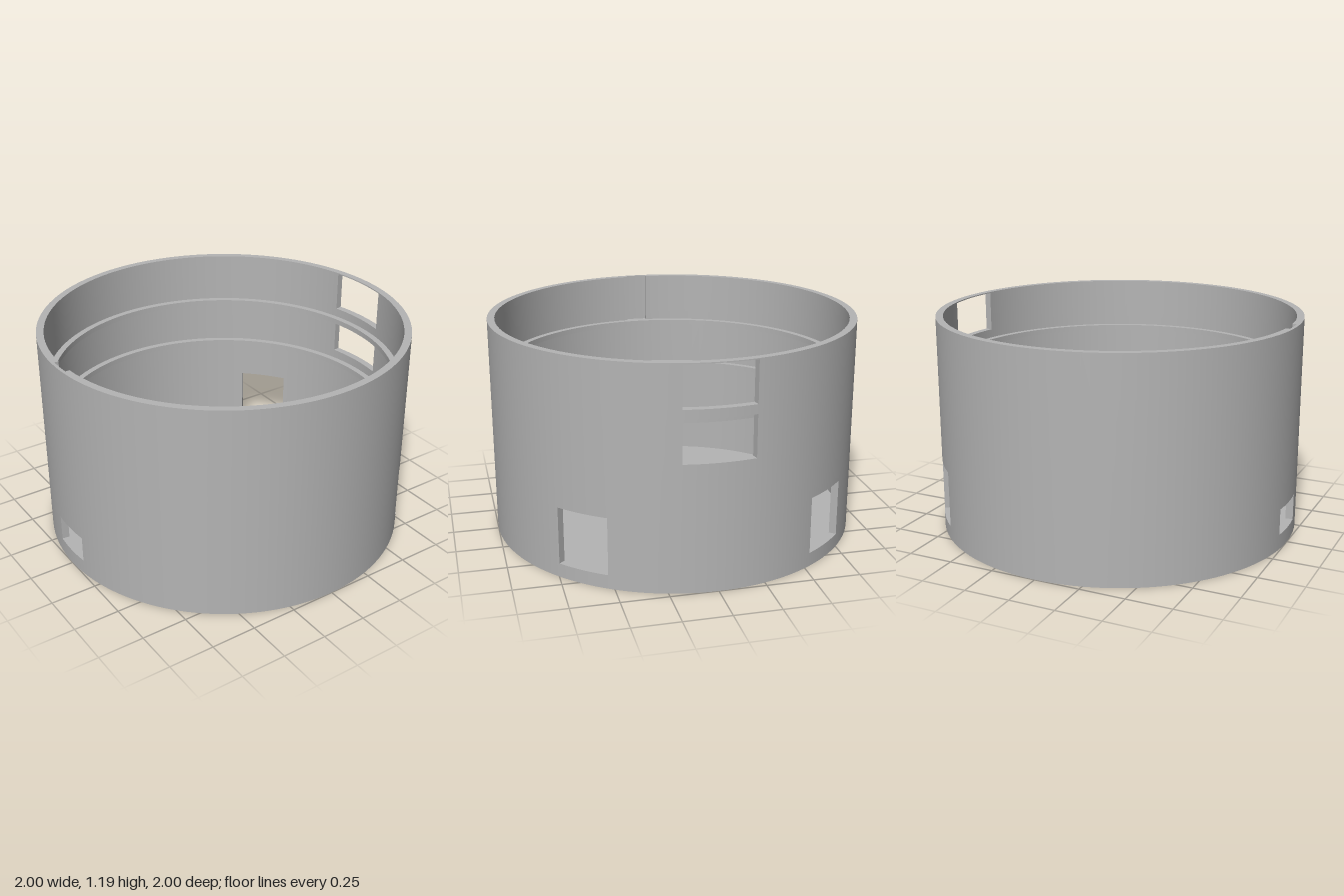
import * as THREE from 'three';

const H = 1.187, DEG = Math.PI / 180;

// Openings in the wall: angle from +x towards +z, half width (degrees), bottom and top
const windows = [
  { at: 0, half: 10.7, y0: 0.96, y1: 1.181 },
  { at: 0, half: 10.7, y0: 0.685, y1: 0.91 },
  { at: 40.2, half: 8.2, y0: 0.075, y1: 0.385 },
  { at: -40.2, half: 8.2, y0: 0.075, y1: 0.385 },
  { at: 180, half: 7, y0: 0.085, y1: 0.23 },
];
// Inside key slot, cut part way into the wall from the upper ledge to the rim
const slot = { at: 180, half: 3.5, y0: 0.91, y1: H };
// Two inner ledges
const ledges = [[0.605, 0.635], [0.88, 0.91]];
const FLOOR = 0.04, R_LEDGE = 0.925, R_IN = 0.96, R_SLOT = 0.983;

function within(o, a, y) {
  const d = Math.abs(((a - o.at + 540) % 360 + 360) % 360 - 180);
  return d < o.half && y > o.y0 && y < o.y1;
}

// Is the cup filled at this radius, angle and height?
function solid(r, a, y) {
  if (r > 1 || y < 0 || y > H) return false;
  if (y < FLOOR) return true;
  if (r < R_LEDGE) return false;
  if (r < R_IN) return ledges.some(([b, t]) => y > b && y < t);
  if (r < R_SLOT && within(slot, a, y)) return false;
  return !windows.some((w) => within(w, a, y));
}

const sorted = (list) => [...new Set(list)].sort((p, q) => p - q);

// Surface between filled and empty cells of a cylindrical grid
function cupGeometry() {
  const cuts = [...windows, slot];
  const rs = [0, R_LEDGE, R_IN, R_SLOT, 1];
  const ys = sorted([0, FLOOR, H, ...ledges.flat(), ...cuts.flatMap((c) => [c.y0, c.y1])]);
  const edges = cuts.flatMap((c) => [c.at - c.half, c.at + c.half]).map((a) => (a + 360) % 360);
  const regular = Array.from({ length: 121 }, (_, i) => i * 3);
  const as = sorted([...regular, ...edges]);
  const pos = [], nor = [];

  const point = (r, a, y) => new THREE.Vector3(r * Math.cos(a * DEG), y, r * Math.sin(a * DEG));
  const radial = (a, s) => point(s, a, 0);

  // Adds a quad wound to agree with its normals
  function quad(p, n) {
    const facing = n[0].clone().add(n[2]);
    const cross = p[2].clone().sub(p[0]).cross(p[3].clone().sub(p[1]));
    const order = cross.dot(facing) > 0 ? [0, 1, 2, 0, 2, 3] : [0, 2, 1, 0, 3, 2];
    for (const i of order) {
      pos.push(...p[i].toArray());
      nor.push(...n[i].toArray());
    }
  }

  for (let i = 0; i < rs.length - 1; i++) {
    for (let j = 0; j < as.length - 1; j++) {
      for (let k = 0; k < ys.length - 1; k++) {
        const [r0, r1, a0, a1, y0, y1] = [rs[i], rs[i + 1], as[j], as[j + 1], ys[k], ys[k + 1]];
        const r = (r0 + r1) / 2, a = (a0 + a1) / 2, y = (y0 + y1) / 2, e = 1e-4;
        if (!solid(r, a, y)) continue;
        // curved faces, smooth
        for (const [rf, s, next] of [[r1, 1, r1 + e], [r0, -1, r0 - e]]) {
          if (rf === 0 || solid(next, a, y)) continue;
          const n0 = radial(a0, s), n1 = radial(a1, s);
          quad([point(rf, a0, y0), point(rf, a1, y0), point(rf, a1, y1), point(rf, a0, y1)], [n0, n1, n1, n0]);
        }
        // level faces
        for (const [yf, s] of [[y1, 1], [y0, -1]]) {
          if (solid(r, a, yf + s * e)) continue;
          const n = new THREE.Vector3(0, s, 0);
          quad([point(r0, a0, yf), point(r1, a0, yf), point(r1, a1, yf), point(r0, a1, yf)], [n, n, n, n]);
        }
        // upright sides of the openings
        for (const [af, s] of [[a1, 1], [a0, -1]]) {
          if (solid(r, af + s * e, y)) continue;
          const n = radial(af + 90 * s, 1);
          quad([point(r0, af, y0), point(r1, af, y0), point(r1, af, y1), point(r0, af, y1)], [n, n, n, n]);
        }
      }
    }
  }
  const geometry = new THREE.BufferGeometry();
  geometry.setAttribute('position', new THREE.Float32BufferAttribute(pos, 3));
  geometry.setAttribute('normal', new THREE.Float32BufferAttribute(nor, 3));
  return geometry;
}

export function createModel() {
  const grey = new THREE.MeshStandardMaterial({ color: 0xb4b4b4 });
  grey.name = 'plain grey';
  const cup = new THREE.Mesh(cupGeometry(), grey);
  cup.name = 'roundHousing';
  const model = new THREE.Group();
  model.name = 'housing';
  model.add(cup);
  return model;
}
